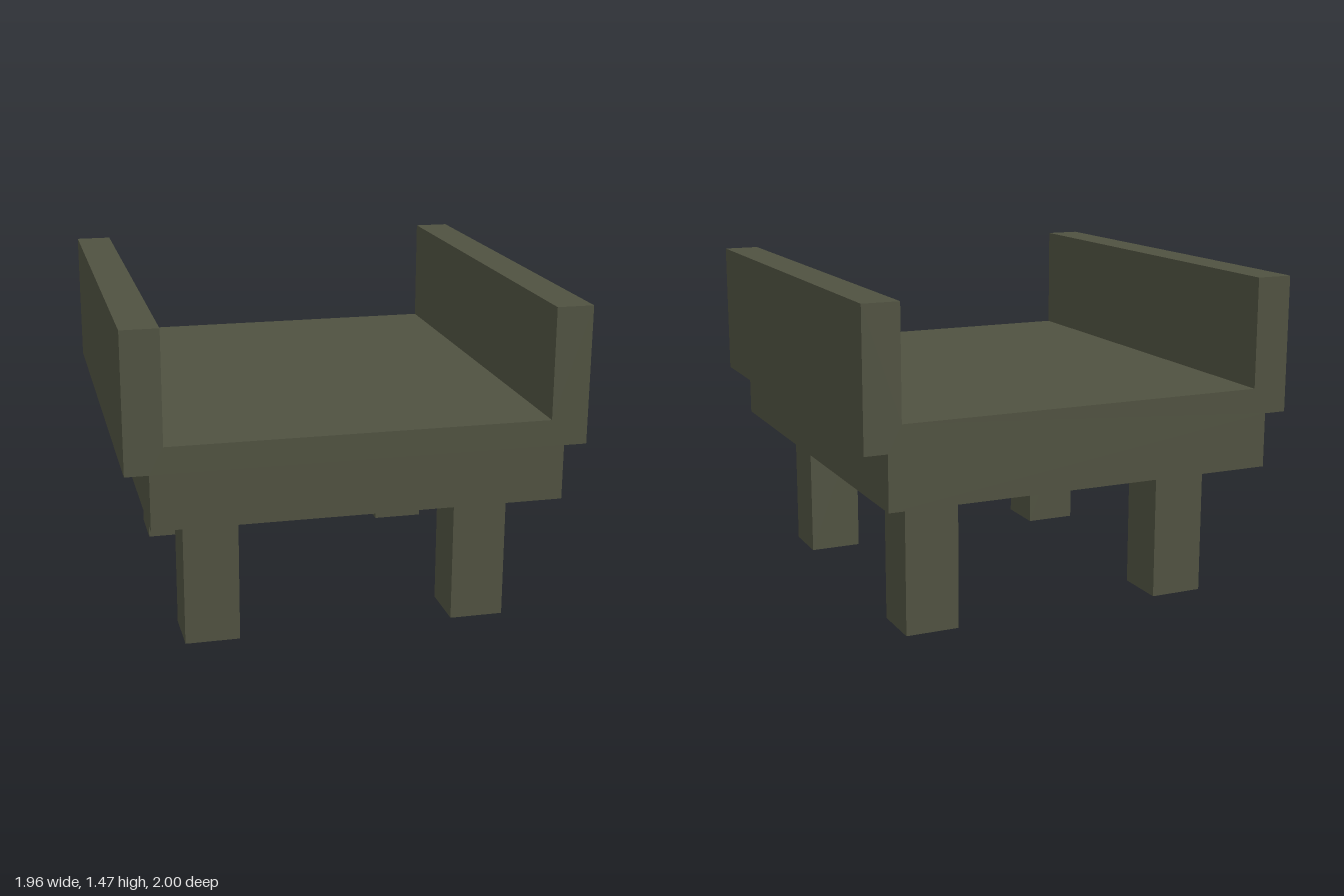
import * as THREE from 'three';

export function createModel() {
  const group = new THREE.Group();
  const olive = new THREE.MeshStandardMaterial({ color: 0x4f5140 });
  olive.name = 'dark olive';

  const seatBottom = 0.625;
  const depth = 2;

  // Seat slab and raised side arms share one stepped cross-section
  const half = [[0.88, seatBottom], [0.88, 0.865], [0.98, 0.865], [0.98, 1.465], [0.82, 1.465], [0.82, 0.98]];
  const mirrored = half.map(([x, y]) => [-x, y]).reverse();
  const profile = new THREE.Shape([...half, ...mirrored].map(([x, y]) => new THREE.Vector2(x, y)));
  const bodyGeometry = new THREE.ExtrudeGeometry(profile, { depth, bevelEnabled: false });
  bodyGeometry.translate(0, 0, -depth / 2);
  const body = new THREE.Mesh(bodyGeometry, olive);
  body.name = 'seatWithArms';
  group.add(body);

  // Four square legs
  const legGeometry = new THREE.BoxGeometry(0.24, seatBottom, 0.24);
  for (const [xName, x] of [['Left', 0.6], ['Right', -0.6]]) {
    for (const [zName, z] of [['front', 0.64], ['back', -0.64]]) {
      const leg = new THREE.Mesh(legGeometry, olive);
      leg.name = `${zName}${xName}Leg`;
      leg.position.set(x, seatBottom / 2, z);
      group.add(leg);
    }
  }

  return group;
}
